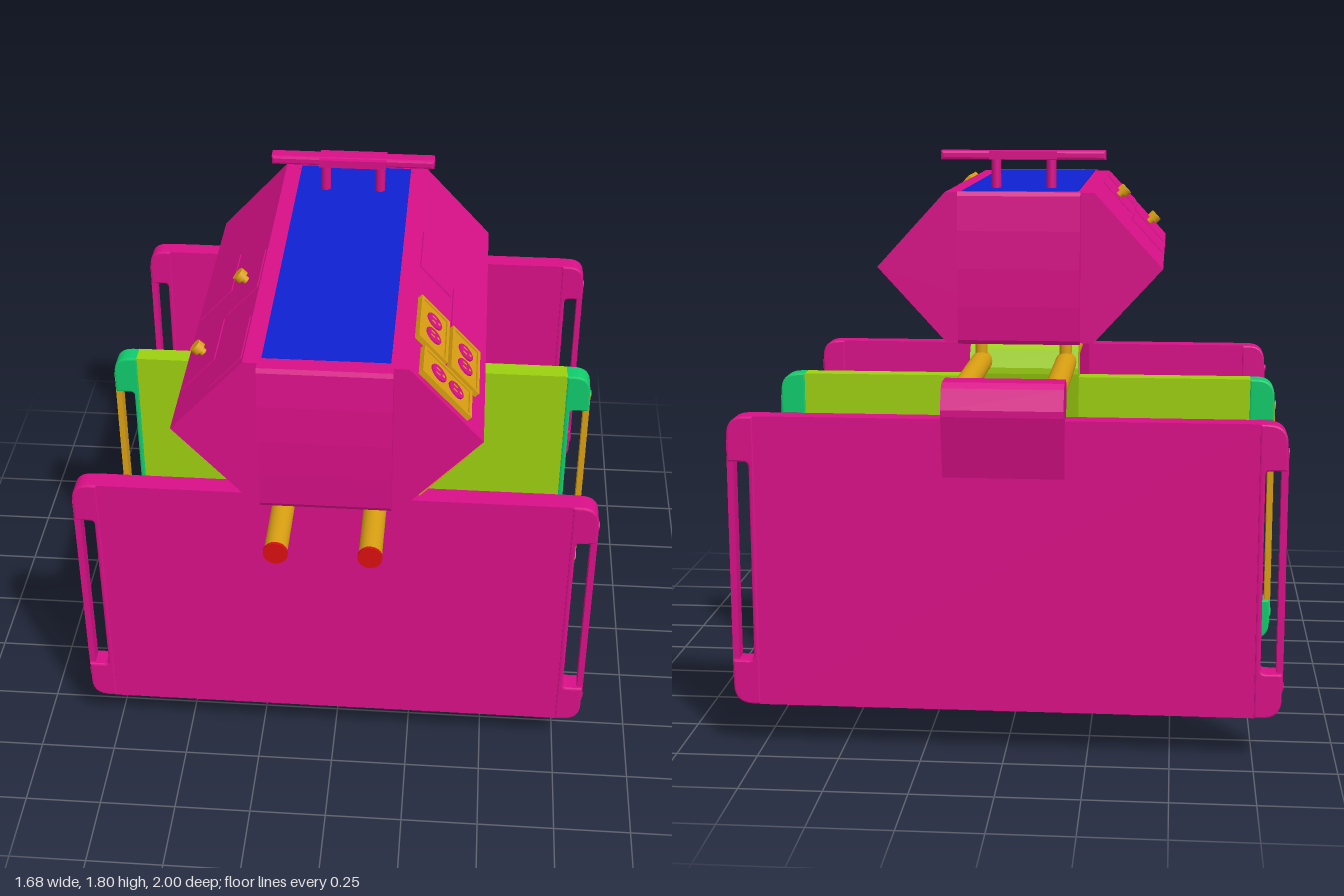
import * as THREE from 'three';

const mat = (name, color) => {
  const m = new THREE.MeshStandardMaterial({ color });
  m.name = name;
  return m;
};

export function createModel() {
  const magenta = mat('magenta', 0xda1088);
  const gold = mat('gold', 0xdaa012);
  const green = mat('green', 0x10cc6c);
  const lime = mat('lime', 0x9cd010);
  const blue = mat('blue', 0x0f22d2);
  const red = mat('red', 0xda1010);

  const model = new THREE.Group();

  const add = (parent, name, geo, material, x = 0, y = 0, z = 0) => {
    const m = new THREE.Mesh(geo, material);
    m.name = name;
    m.position.set(x, y, z);
    parent.add(m);
    return m;
  };
  const box = (parent, name, material, w, h, d, x, y, z) =>
    add(parent, name, new THREE.BoxGeometry(w, h, d), material, x, y, z);
  const rod = (parent, name, material, r, len, axis, x, y, z) => {
    const g = new THREE.CylinderGeometry(r, r, len, 20);
    if (axis === 'z') g.rotateX(Math.PI / 2);
    return add(parent, name, g, material, x, y, z);
  };
  // Profile extruded along z and centred on z = 0
  const extrude = (shape, depth, bevel = 0) => {
    const g = new THREE.ExtrudeGeometry(shape, {
      depth: depth - 2 * bevel, bevelEnabled: bevel > 0, bevelSize: bevel,
      bevelThickness: bevel, bevelOffset: -bevel, bevelSegments: 2, curveSegments: 8,
    });
    return g.translate(0, 0, -depth / 2 + bevel);
  };
  // Profile of [z, y] points extruded across x
  const extrudeX = (pts, width) =>
    extrude(new THREE.Shape(pts.map(p => new THREE.Vector2(...p))), width).rotateY(-Math.PI / 2);

  // Hanging panel with slotted ends and a hook over the pipes
  const bottom = 0.15, top = 1.05, edge = 0.833;
  const endShape = s => {
    const p = new THREE.Shape();
    const r = 0.06;
    p.moveTo(s * 0.75, bottom);
    p.lineTo(s * (edge - r), bottom);
    p.quadraticCurveTo(s * edge, bottom, s * edge, bottom + r);
    p.lineTo(s * edge, 0.29);
    p.lineTo(s * 0.785, 0.29);
    p.quadraticCurveTo(s * 0.768, 0.29, s * 0.768, 0.307);
    p.lineTo(s * 0.768, 0.893);
    p.quadraticCurveTo(s * 0.768, 0.91, s * 0.785, 0.91);
    p.lineTo(s * edge, 0.91);
    p.lineTo(s * edge, top - r);
    p.quadraticCurveTo(s * edge, top, s * (edge - r), top);
    p.lineTo(s * 0.75, top);
    p.closePath();
    return p;
  };
  const hookProfile = [
    [0.035, 1.04], [0.035, 1.15], [0.022, 1.165], [-0.055, 1.165], [-0.075, 1.15],
    [-0.1, 1.09], [-0.1, 1.07], [-0.058, 0.88], [-0.035, 0.88], [-0.03, 1.04],
  ];
  const panel = (name, z, body, ends, bars) => {
    const g = new THREE.Group();
    g.name = name;
    g.position.z = z;
    model.add(g);
    box(g, 'panelBoard', body, 1.504, top - bottom, 0.066, 0, (top + bottom) / 2, 0);
    add(g, 'panelHook', extrudeX(hookProfile, 0.36), body);
    for (const s of [-1, 1]) {
      add(g, 'panelEnd', extrude(endShape(s), 0.072, 0.006), ends);
      box(g, 'endBar', bars, 0.02, 0.735, 0.046, s * 0.826, 0.6, 0);
      for (const y of [0.24, 0.96]) {
        const screw = add(g, 'barScrew', new THREE.CylinderGeometry(0.014, 0.014, 0.004, 12), ends, s * 0.837, y, 0);
        screw.rotation.z = Math.PI / 2;
      }
    }
    return g;
  };
  panel('frontPanel', 0.6, magenta, magenta, magenta);
  panel('backPanel', -0.898, magenta, magenta, magenta);
  const middle = panel('middlePanel', -0.14, lime, green, gold);

  // Carrying handle under the middle panel
  const grip = new THREE.Shape();
  grip.moveTo(-0.41, 0.16);
  grip.lineTo(-0.41, 0.12);
  grip.quadraticCurveTo(-0.405, 0.055, -0.34, 0.042);
  grip.quadraticCurveTo(0, -0.024, 0.34, 0.042);
  grip.quadraticCurveTo(0.405, 0.055, 0.41, 0.12);
  grip.lineTo(0.41, 0.16);
  grip.lineTo(0.375, 0.16);
  grip.lineTo(0.373, 0.12);
  grip.quadraticCurveTo(0.37, 0.085, 0.33, 0.076);
  grip.quadraticCurveTo(0, 0.012, -0.33, 0.076);
  grip.quadraticCurveTo(-0.37, 0.085, -0.373, 0.12);
  grip.lineTo(-0.375, 0.16);
  grip.closePath();
  add(middle, 'lowerHandle', extrude(grip, 0.072, 0.008), green);
  box(middle, 'lowerHandleStem', green, 0.21, 0.13, 0.062, 0, 0.095, 0);

  // Twin pipes with end caps and short posts
  for (const s of [-1, 1]) {
    const x = s * 0.14;
    rod(model, 'pipe', gold, 0.035, 1.89, 'z', x, 1.11, 0.045);
    rod(model, 'pipeCap', red, 0.037, 0.01, 'z', x, 1.11, 0.995);
    for (const z of [0.75, -0.245]) rod(model, 'pipePost', gold, 0.02, 0.1, 'y', x, 1.17, z);
  }

  // Hexagonal housing
  const housing = new THREE.Group();
  housing.name = 'housing';
  model.add(housing);
  const midY = 1.44, halfH = 0.24, ridge = 0.458, flat = 0.238;
  const hex = [[ridge, 0], [flat, halfH], [-flat, halfH], [-ridge, 0], [-flat, -halfH], [flat, -halfH]];
  add(housing, 'housingBody',
    extrude(new THREE.Shape(hex.map(p => new THREE.Vector2(...p))), 1.25), magenta, 0, midY, 0.225);
  for (const s of [-1, 1])
    box(housing, s > 0 ? 'topInset' : 'bottomInset', blue, 0.37, 0.008, 1.21, 0, midY + s * halfH, 0.222);

  // Bowed end plates
  for (const s of [-1, 1]) {
    const bow = [[-0.03, -0.243], [0.03, -0.243], [0.037, -0.23], [0.045, -0.12], [0.048, 0],
      [0.045, 0.12], [0.037, 0.23], [0.03, 0.243], [-0.03, 0.243]];
    const plate = add(housing, 'endPlate', extrudeX(bow, 0.39), magenta, 0, midY, s > 0 ? 0.85 : -0.392);
    if (s < 0) plate.rotation.y = Math.PI;
  }

  // Top handle
  for (const s of [-1, 1]) rod(housing, 'topHandlePost', magenta, 0.016, 0.11, 'y', s * 0.09, 1.73, -0.225);
  const barShape = new THREE.Shape([[-0.268, 1.775], [0.268, 1.775], [0.268, 1.805], [-0.268, 1.805]]
    .map(p => new THREE.Vector2(...p)));
  add(housing, 'topHandleBar', extrude(barShape, 0.054, 0.008), magenta, 0, 0, -0.228);
  box(housing, 'topHandleGrip', magenta, 0.22, 0.026, 0.076, 0, 1.79, -0.225);

  // Outlet: gold plate, raised rim and two magenta sockets with gold slots
  const outlet = (face, dir, z0, z1, v0, v1, stacked) => {
    const g = new THREE.Group();
    g.name = 'outlet';
    g.position.set(dir * (z0 + z1) / 2, (v0 + v1) / 2, 0);
    face.add(g);
    const w = z1 - z0, h = v1 - v0;
    box(g, 'outletPlate', gold, w, h, 0.016, 0, 0, 0.004);
    for (const s of [-1, 1]) {
      box(g, 'outletRim', gold, w, 0.011, 0.02, 0, s * (h / 2 - 0.0055), 0.007);
      box(g, 'outletRim', gold, 0.011, h, 0.02, s * (w / 2 - 0.0055), 0, 0.007);
      const sx = stacked ? 0 : s * 0.04, sy = stacked ? s * 0.038 : 0;
      const pad = new THREE.CylinderGeometry(0.031, 0.031, 0.006, 16).rotateX(Math.PI / 2);
      add(g, 'socket', pad, magenta, sx, sy, 0.014);
      for (const t of [-1, 1])
        box(g, 'socketSlot', gold, 0.005, 0.016, 0.002, sx + t * 0.011, sy + 0.006, 0.0172);
      box(g, 'socketSlot', gold, 0.008, 0.008, 0.002, sx, sy - 0.017, 0.0172);
    }
  };

  // Sloped faces; local y runs from the ridge to the flat, local z points outward
  const slope = Math.hypot(ridge - flat, halfH);
  const a = (ridge - flat) / slope, b = halfH / slope;
  for (const sx of [-1, 1]) for (const sy of [-1, 1]) {
    const dir = -sx * sy;
    const face = new THREE.Group();
    face.name = (sy > 0 ? 'upper' : 'lower') + (sx > 0 ? 'LeftFace' : 'RightFace');
    face.quaternion.setFromRotationMatrix(new THREE.Matrix4().makeBasis(
      new THREE.Vector3(0, 0, dir),
      new THREE.Vector3(-sx * a, sy * b, 0),
      new THREE.Vector3(sx * b, sy * a, 0)));
    face.position.set(sx * ridge, midY, 0);
    housing.add(face);

    const door = (z0, z1, v0, v1) =>
      box(face, 'door', magenta, z1 - z0, v1 - v0, 0.008, dir * (z0 + z1) / 2, (v0 + v1) / 2, 0);
    const inner = [0.01, 0.165], outer = [0.175, 0.318];
    if (sx > 0) {
      door(0.04, 0.26, ...outer);
      door(0.2, 0.42, 0.035, 0.165);
      outlet(face, dir, 0.69, 0.825, 0.075, 0.288, true);
      outlet(face, dir, 0.44, 0.668, 0.188, 0.315, false);
      outlet(face, dir, 0.44, 0.668, 0.045, 0.172, false);
    } else {
      door(0.03, 0.26, ...inner);
      door(0.19, 0.42, ...outer);
      door(0.43, 0.66, ...inner);
      door(0.59, 0.82, ...outer);
      for (const [z, v] of [[0.3, 0.247], [0.545, 0.093]]) {
        rod(face, 'knobStem', gold, 0.012, 0.03, 'z', dir * z, v, 0.012);
        rod(face, 'knob', gold, 0.022, 0.022, 'z', dir * z, v, 0.03);
      }
    }
  }

  return model;
}
